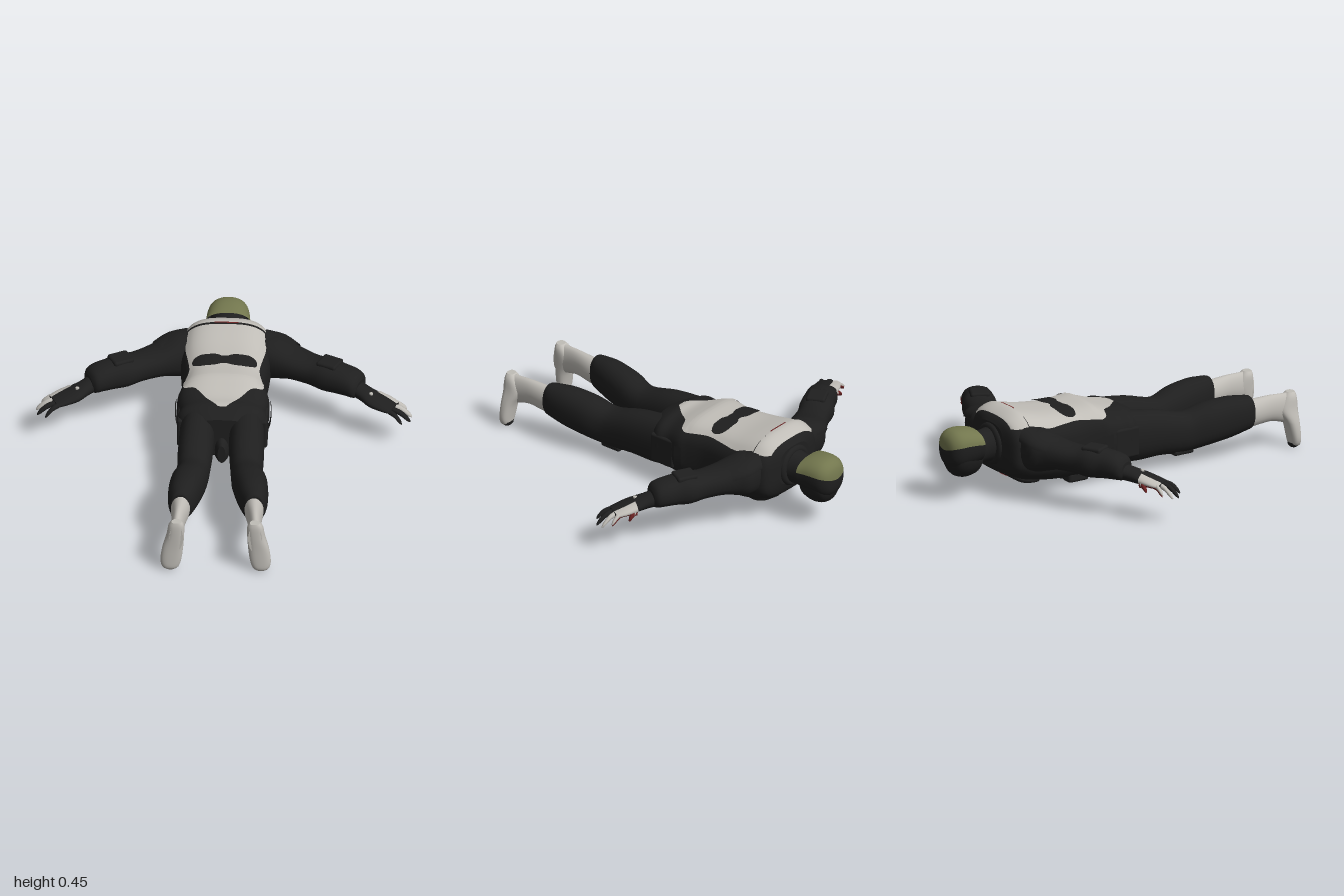
import * as THREE from 'three';
import { RoundedBoxGeometry } from 'three/addons/geometries/RoundedBoxGeometry.js';

const P = Math.PI;
const mat = (name, color) => Object.assign(new THREE.MeshStandardMaterial({ color, side: THREE.DoubleSide }), { name });

const geometry = (pos, idx) => {
  const g = new THREE.BufferGeometry();
  g.setAttribute('position', new THREE.Float32BufferAttribute(pos, 3));
  g.setIndex(idx);
  g.computeVertexNormals();
  return g;
};

// Smooth interpolation of section rows
function refine(rows, n) {
  const out = [], last = rows.length - 1;
  for (let i = 0; i < last; i++) {
    const a = rows[Math.max(i - 1, 0)], b = rows[i], c = rows[i + 1], d = rows[Math.min(i + 2, last)];
    for (let k = 0; k < n; k++) {
      const t = k / n;
      out.push(b.map((v, j) => {
        const cubic = 3 * (v - c[j]) + d[j] - a[j], square = 2 * a[j] - 5 * v + 4 * c[j] - d[j];
        return v + 0.5 * t * (c[j] - a[j] + t * (square + t * cubic));
      }));
    }
  }
  return [...out, rows[last]];
}

// Loft through rows [x, y, z, halfWidth, up, down]; U is the width axis, V the up axis
function loft(rows, { U = [1, 0, 0], V = [0, 1, 0], n = 2, arc = null, seg = 24, fine = 3 } = {}) {
  const r = refine(rows, fine), pos = [], idx = [], e = r[r.length - 1];
  const u = new THREE.Vector3(...U), v = new THREE.Vector3(...V);
  const [a0, a1] = arc || [0, P * 2], cols = arc ? seg + 1 : seg;
  const pow = (c) => Math.sign(c) * Math.abs(c) ** (2 / n);
  for (const [x, y, z, w, up, down] of r) {
    for (let j = 0; j < cols; j++) {
      const a = a0 + (a1 - a0) * j / seg, s = pow(Math.sin(a));
      const p = new THREE.Vector3(x, y, z).addScaledVector(u, w * pow(Math.cos(a)));
      pos.push(...p.addScaledVector(v, s * (s > 0 ? up : down)));
    }
  }
  const along = new THREE.Vector3(e[0] - r[0][0], e[1] - r[0][1], e[2] - r[0][2]);
  const reversed = along.dot(u.clone().cross(v)) < 0;
  const tri = (a, b, c) => (reversed ? idx.push(a, c, b) : idx.push(a, b, c));
  for (let i = 0; i < r.length - 1; i++) {
    for (let j = 0; j < seg; j++) {
      const a = i * cols + j, b = i * cols + (j + 1) % cols;
      tri(a, b, a + cols);
      tri(b, b + cols, a + cols);
    }
  }
  // End caps with their own corners
  for (const end of arc ? [] : [0, r.length - 1]) {
    const base = pos.length / 3;
    pos.push(...pos.slice(end * cols * 3, (end + 1) * cols * 3), ...r[end].slice(0, 3));
    for (let j = 0; j < cols; j++) {
      const k = (j + 1) % cols;
      if (end) tri(base + j, base + k, base + cols);
      else tri(base + k, base + j, base + cols);
    }
  }
  return geometry(pos, idx);
}

const TORSO = [
  [0, .26, -.72, .12, .12, .08], [0, .25, -.695, .2, .16, .13], [0, .24, -.64, .225, .195, .15],
  [0, .24, -.58, .23, .19, .17], [0, .24, -.45, .225, .165, .195], [0, .24, -.3, .21, .155, .21],
  [0, .24, -.2, .222, .16, .215], [0, .24, -.14, .235, .145, .2], [0, .23, -.06, .222, .13, .18],
  [0, .22, 0, .23, .138, .16], [0, .21, .05, .2, .13, .13], [0, .21, .09, .15, .11, .1]];
const TORSO_N = 3, TORSO_FINE = refine(TORSO, 4);

// Thin panel following the torso; rows are [z, halfWidth], side +1 is the back, -1 the chest
function panel(rows, side, off, cx = 0) {
  const r = refine(rows, 3), pos = [], idx = [], C = 20;
  for (const [z, hw] of r) {
    const i = TORSO_FINE.findIndex((q) => q[2] >= z), A = TORSO_FINE[i - 1], B = TORSO_FINE[i];
    const t = (z - A[2]) / (B[2] - A[2]);
    const [, y, , w, up, down] = A.map((q, j) => q + (B[j] - q) * t);
    for (let j = 0; j <= C; j++) {
      const x = cx + hw * (2 * j / C - 1), f = Math.max(0, 1 - Math.abs(x / w) ** TORSO_N) ** (1 / TORSO_N);
      pos.push(x, y + side * (f * (side > 0 ? up : down) + off), z);
    }
  }
  for (let i = 0; i < r.length - 1; i++) for (let j = 0; j < C; j++) {
    const a = i * (C + 1) + j, b = a + 1, c = a + C + 1, d = c + 1;
    if (side > 0) idx.push(a, c, b, b, c, d);
    else idx.push(a, b, c, b, d, c);
  }
  return geometry(pos, idx);
}

export function createModel() {
  const root = new THREE.Group();
  const black = mat('black cloth', 0x1f1f1f), pale = mat('pale grey cloth', 0xc0bdb7);
  const olive = mat('olive paint', 0x73774e), red = mat('dark red', 0x6a2222);
  const add = (name, g, m) => {
    const mesh = new THREE.Mesh(g, m);
    mesh.name = name;
    root.add(mesh);
    return mesh;
  };
  const box = (name, size, p, rotY = 0) => {
    const b = add(name, new RoundedBoxGeometry(...size, 2, .013), black);
    b.position.set(...p);
    b.rotation.y = rotY;
  };

  // Torso with its back and chest panels
  add('jacket', loft(TORSO, { n: TORSO_N, seg: 40, fine: 4 }), black);
  add('backPanel', panel([[-.61, .2], [-.5, .205], [-.4, .19], [-.3, .178], [-.2, .2], [-.165, .205], [-.14, .19],
    [-.12, .14], [-.05, .085], [0, .04], [.02, .02]], 1, .006), pale);
  add('shoulderYoke', panel([[-.7, .16], [-.68, .185], [-.64, .2], [-.617, .2]], 1, .012), pale);
  add('backFold', panel([[-.2, .2], [-.185, .205], [-.17, .2]], 1, .011), pale);
  add('patchBridge', panel([[-.365, .05], [-.3, .05]], 1, .013), black);
  add('backTrim', panel([[-.617, .06], [-.609, .06]], 1, .014), red);
  add('chestMark', panel([[-.65, .025], [-.61, .06], [-.56, .075], [-.52, .04], [-.48, .015]], -1, .006), red);

  // Vest pouches, belt and groin flap
  for (const x of [-.12, -.04, .04, .12]) box('vestPouch', [.068, .05, .12], [x, .045, -.28]);
  for (const x of [-.09, 0, .09]) box('beltPouch', [.075, .05, .08], [x, .06, -.1]);
  add('belt', loft([[0, .24, -.17, .24, .15, .21], [0, .24, -.13, .245, .15, .205]],
    { n: 3, arc: [P * .97, P * 2.03] }), black);
  add('groinFlap', loft([[0, .15, .02, .06, .09, .09], [0, .14, .08, .04, .08, .08], [0, .13, .12, .02, .05, .05]]), black);

  // Neck, collar, masked face and helmet
  add('neck', loft([[0, .27, -.66, .1, .1, .1], [0, .265, -.74, .078, .085, .09], [0, .26, -.8, .07, .08, .09],
    [0, .255, -.86, .075, .07, .1]]), black);
  add('collar', new THREE.TorusGeometry(.088, .022, 10, 28), black).position.set(0, .265, -.715);
  add('maskedFace', loft([[0, .25, -.79, .05, .06, .08], [0, .25, -.82, .085, .08, .115], [0, .25, -.87, .095, .09, .13],
    [0, .25, -.92, .095, .09, .125], [0, .25, -.96, .08, .08, .1], [0, .26, -.985, .04, .05, .06]]), black);
  const SHELL = [[0, .295, -.825, .118, .07, .1], [0, .295, -.86, .112, .08, .11], [0, .295, -.91, .107, .086, .12],
    [0, .29, -.955, .096, .085, .115], [0, .285, -.985, .07, .065, .085], [0, .28, -.997, .035, .035, .045],
    [0, .28, -1, .002, .002, .002]];
  add('helmetTop', loft(SHELL, { n: 2.3, arc: [P * .04, P * .96] }), olive);
  add('helmetLower', loft(SHELL, { n: 2.3, arc: [P * .96, P * 2.04] }), black);

  for (const s of [1, -1]) {
    const flip = (rows) => rows.map(([x, ...rest]) => [x * s, ...rest]);
    const U = [-.46 * s, 0, .89], side = s > 0 ? 'left' : 'right';
    const part = (name, rows, m, options) => add(side + name, loft(flip(rows), options), m);
    add(side + 'BackPatch', panel([[-.383, .035], [-.37, .065], [-.34, .08], [-.305, .07], [-.287, .03]], 1, .012, .085 * s), black);

    // Vest lapel around the chest opening
    const lapel = flip([[.1, .14, -.69], [.115, .085, -.6], [.085, .06, -.5], [0, .05, -.43]]);
    const curve = new THREE.CatmullRomCurve3(lapel.map((p) => new THREE.Vector3(...p)));
    add(side + 'Lapel', new THREE.TubeGeometry(curve, 16, .02, 8), black);

    // Trousers, hip pocket and knee pad
    part('TrouserLeg', [[.11, .21, -.04, .1, .13, .13], [.125, .205, .06, .09, .125, .14], [.13, .195, .2, .089, .115, .125],
      [.135, .175, .33, .083, .1, .115], [.14, .175, .39, .083, .1, .11], [.155, .195, .48, .09, .105, .115],
      [.172, .21, .6, .082, .105, .11], [.182, .215, .68, .07, .095, .095], [.187, .215, .725, .055, .09, .085],
      [.188, .215, .738, .047, .075, .07]], black, { n: 2.3 });
    box(side + 'HipPocket', [.045, .16, .15], [.207 * s, .2, -.035]);
    box(side + 'KneePad', [.1, .03, .12], [.135 * s, .072, .34]);

    // Boot shaft, foot and toe cap
    part('BootShaft', [[.187, .21, .7, .05, .07, .075], [.187, .208, .76, .047, .073, .07], [.193, .212, .85, .036, .073, .066],
      [.198, .205, .92, .034, .078, .075], [.2, .2, .97, .038, .083, .085], [.2, .2, .994, .035, .08, .08]], pale);
    part('BootFoot', [[.198, .286, .975, .025, .018, .025], [.2, .26, .97, .04, .028, .045], [.205, .2, .967, .045, .032, .07],
      [.218, .13, .972, .053, .026, .045], [.227, .06, .974, .053, .025, .032], [.23, .02, .974, .042, .024, .026],
      [.23, .004, .972, .022, .016, .018]], pale, { V: [0, 0, 1], n: 2.4 });
    part('ToeCap', [[.23, .024, .968, .036, .01, .024], [.23, .01, .968, .034, .016, .022], [.23, 0, .968, .02, .014, .014]],
      black, { V: [0, 0, 1] });

    // Sleeve, shoulder flap and arm pocket
    part('Sleeve', [[.15, .275, -.59, .095, .1, .12], [.24, .28, -.58, .11, .1, .12], [.3, .277, -.55, .1, .085, .1],
      [.36, .272, -.52, .092, .07, .08], [.45, .265, -.475, .083, .066, .075], [.52, .262, -.44, .09, .08, .08],
      [.58, .262, -.405, .082, .074, .075], [.64, .258, -.375, .08, .07, .066], [.675, .252, -.355, .072, .06, .06],
      [.69, .246, -.348, .05, .04, .045]], black, { U, n: 2.3 });
    part('ShoulderFlap', [[.18, .33, -.615, .085, .06, .09], [.26, .315, -.59, .1, .06, .09],
      [.335, .295, -.545, .09, .058, .08]], black, { U, arc: [0, P] });
    box(side + 'ArmPocket', [.11, .03, .1], [.53 * s, .333, -.435], -.477 * s);

    // Glove with pale back, red palm edge and wrist stud
    const HAND = [[.765, .212, -.292, .064, .034, .034], [.82, .203, -.263, .067, .025, .029], [.866, .194, -.239, .057, .018, .02]];
    part('Glove', [[.66, .24, -.365, .052, .04, .045], [.71, .226, -.325, .05, .036, .04], [.76, .213, -.29, .062, .03, .033],
      [.82, .203, -.262, .064, .022, .026], [.865, .194, -.238, .055, .015, .017]], black, { U });
    part('HandPanel', HAND, pale, { U, arc: [P * .62, P * 1.08] });
    part('PalmPanel', HAND, red, { U, arc: [P * 1.08, P * 1.3] });
    add(side + 'WristStud', new THREE.CylinderGeometry(.01, .01, .008, 12), pale).position.set(.745 * s, .247, -.287);

    // Fingers, with red pads under the thumb and index finger
    const finger = (name, m, a, b, r) => {
      const at = (t, k) => {
        const [x, y, z] = a.map((q, i) => q + (b[i] - q) * t);
        return [x, y + .012 * Math.sin(P * t), z, r * k, r * k, r * k];
      };
      part(name, [at(0, 1), at(.45, 1), at(.85, .8), at(1, .3)], m, { U, seg: 10 });
    };
    finger('IndexFinger', pale, [.84, .198, -.288], [.925, .163, -.283], .014);
    finger('IndexPad', red, [.845, .191, -.289], [.922, .156, -.284], .0125);
    finger('MiddleFinger', pale, [.855, .195, -.26], [.952, .145, -.24], .014);
    finger('RingFinger', black, [.855, .193, -.23], [.945, .142, -.2], .014);
    finger('LittleFinger', black, [.84, .193, -.205], [.903, .148, -.165], .013);
    finger('Thumb', pale, [.755, .208, -.315], [.815, .186, -.334], .019);
    finger('ThumbTip', red, [.785, .19, -.328], [.845, .168, -.33], .0165);
  }
  return root;
}
